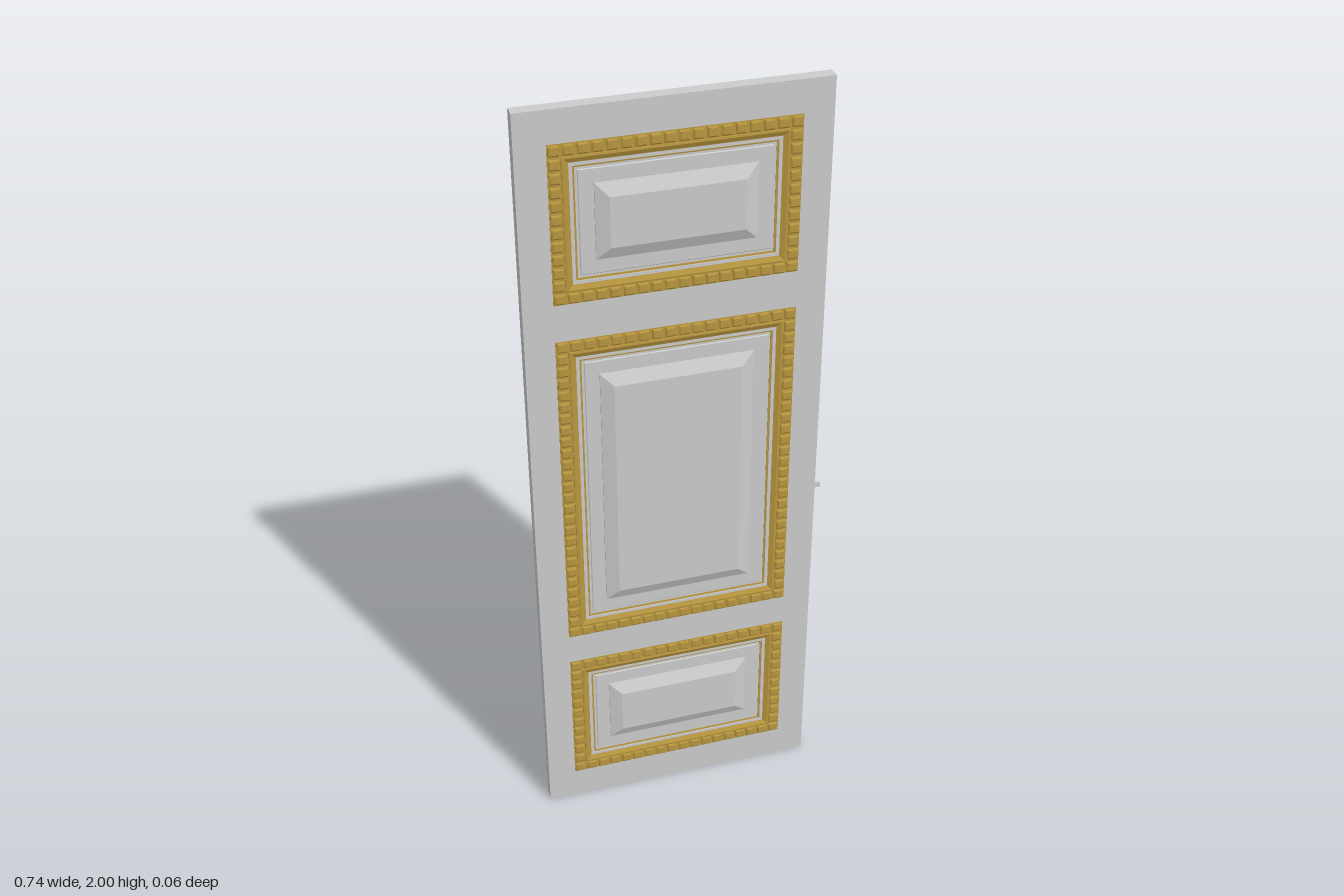
import * as THREE from 'three';

const grey = new THREE.MeshStandardMaterial({ color: 0xcccccc, flatShading: true });
const gold = new THREE.MeshStandardMaterial({ color: 0xb8963f, flatShading: true });

const W = 0.724, H = 2, T = 0.032; // door leaf
const PANEL_W = 0.58;
const PANELS = [
  { name: 'topPanel', y: 1.725, h: 0.39 },
  { name: 'middlePanel', y: 0.997, h: 0.875 },
  { name: 'bottomPanel', y: 0.28, h: 0.39 },
];

function mesh(name, geometry, material) {
  const m = new THREE.Mesh(geometry, material);
  m.name = name;
  return m;
}

// Mitred rectangular rings lofted through [inset, z] steps, optionally capped
function rectLoft(w, h, profile, cap = false) {
  const pos = [];
  const corners = ([inset, z]) => {
    const x = w / 2 - inset, y = h / 2 - inset;
    return [[-x, -y, z], [x, -y, z], [x, y, z], [-x, y, z]];
  };
  const quad = (a, b, c, d) => pos.push(...a, ...b, ...c, ...a, ...c, ...d);
  const rings = profile.map(corners);
  for (let r = 0; r < rings.length - 1; r++) {
    for (let i = 0; i < 4; i++) {
      const j = (i + 1) % 4;
      quad(rings[r][i], rings[r][j], rings[r + 1][j], rings[r + 1][i]);
    }
  }
  if (cap) quad(...rings[rings.length - 1]);
  const g = new THREE.BufferGeometry();
  g.setAttribute('position', new THREE.Float32BufferAttribute(pos, 3));
  g.computeVertexNormals();
  return g;
}

// Small chamfered blocks running round the frame
function dentils(w, h) {
  const size = 0.026, edge = 0.015;
  const nx = Math.round(w / 0.0325), ny = Math.round(h / 0.0325);
  const points = [];
  const at = (i, n, len) => -len / 2 + edge + (i * (len - 2 * edge)) / (n - 1);
  for (let i = 0; i < nx; i++) {
    for (const s of [-1, 1]) points.push([at(i, nx, w), s * (h / 2 - edge)]);
  }
  for (let i = 1; i < ny - 1; i++) {
    for (const s of [-1, 1]) points.push([s * (w / 2 - edge), at(i, ny, h)]);
  }
  const block = rectLoft(size, size, [[0, 0.016], [0, 0.0195], [0.004, 0.022]], true);
  const inst = new THREE.Group();
  inst.name = 'dentils';
  for (const [x, y] of points) {
    const m = mesh('dentil', block, gold);
    m.position.set(x, y, 0);
    inst.add(m);
  }
  return inst;
}

// One decorated panel: gold frame, recessed field and raised centre
function panel({ name, y, h }) {
  const g = new THREE.Group();
  g.name = name;
  g.position.y = y;
  g.add(mesh('frameMoulding', rectLoft(PANEL_W, h, [
    [0, 0.015], [0, 0.0172], [0.03, 0.0172], [0.03, 0.0205], [0.035, 0.0212],
    [0.045, 0.0165], [0.056, 0.0135], [0.06, 0.013], [0.06, 0.010],
  ]), gold));
  g.add(mesh('raisedField', rectLoft(PANEL_W, h, [
    [0.058, 0.012], [0.066, 0.012], [0.068, 0.014], [0.102, 0.014], [0.102, 0.017], [0.133, 0.031],
  ], true), grey));
  g.add(dentils(PANEL_W, h));
  return g;
}

function rectPath(path, w, h, y) {
  path.moveTo(-w / 2, y - h / 2);
  path.lineTo(w / 2, y - h / 2);
  path.lineTo(w / 2, y + h / 2);
  path.lineTo(-w / 2, y + h / 2);
  path.closePath();
  return path;
}

export function createModel() {
  const door = new THREE.Group();
  door.name = 'door';
  const leaf = new THREE.Group();
  leaf.name = 'leaf';
  leaf.position.x = -0.01;
  door.add(leaf);

  // Leaf with an opening behind each panel
  const shape = rectPath(new THREE.Shape(), W, H, H / 2);
  for (const p of PANELS) {
    shape.holes.push(rectPath(new THREE.Path(), PANEL_W - 0.11, p.h - 0.11, p.y));
  }
  const slab = new THREE.ExtrudeGeometry(shape, { depth: T, bevelEnabled: false });
  slab.translate(0, 0, -T / 2);
  leaf.add(mesh('slab', slab, grey));

  // Same panels on both faces
  for (const [name, turn] of [['frontPanels', 0], ['backPanels', Math.PI]]) {
    const face = new THREE.Group();
    face.name = name;
    face.rotation.y = turn;
    PANELS.forEach((p) => face.add(panel(p)));
    leaf.add(face);
  }

  // Latch plate and wedge bolt on the closing edge
  const plate = mesh('latchPlate', new THREE.BoxGeometry(0.003, 0.17, 0.02), grey);
  plate.position.set(0.3525, 0.888, 0);
  const wedge = new THREE.Shape();
  wedge.moveTo(0.353, 0.008);
  wedge.lineTo(0.353, -0.004);
  wedge.lineTo(0.371, -0.004);
  wedge.lineTo(0.371, -0.002);
  const boltGeo = new THREE.ExtrudeGeometry(wedge, { depth: 0.014, bevelEnabled: false });
  boltGeo.rotateX(-Math.PI / 2);
  const bolt = mesh('latchBolt', boltGeo, grey);
  bolt.position.y = 0.888;
  door.add(plate, bolt);
  return door;
}
